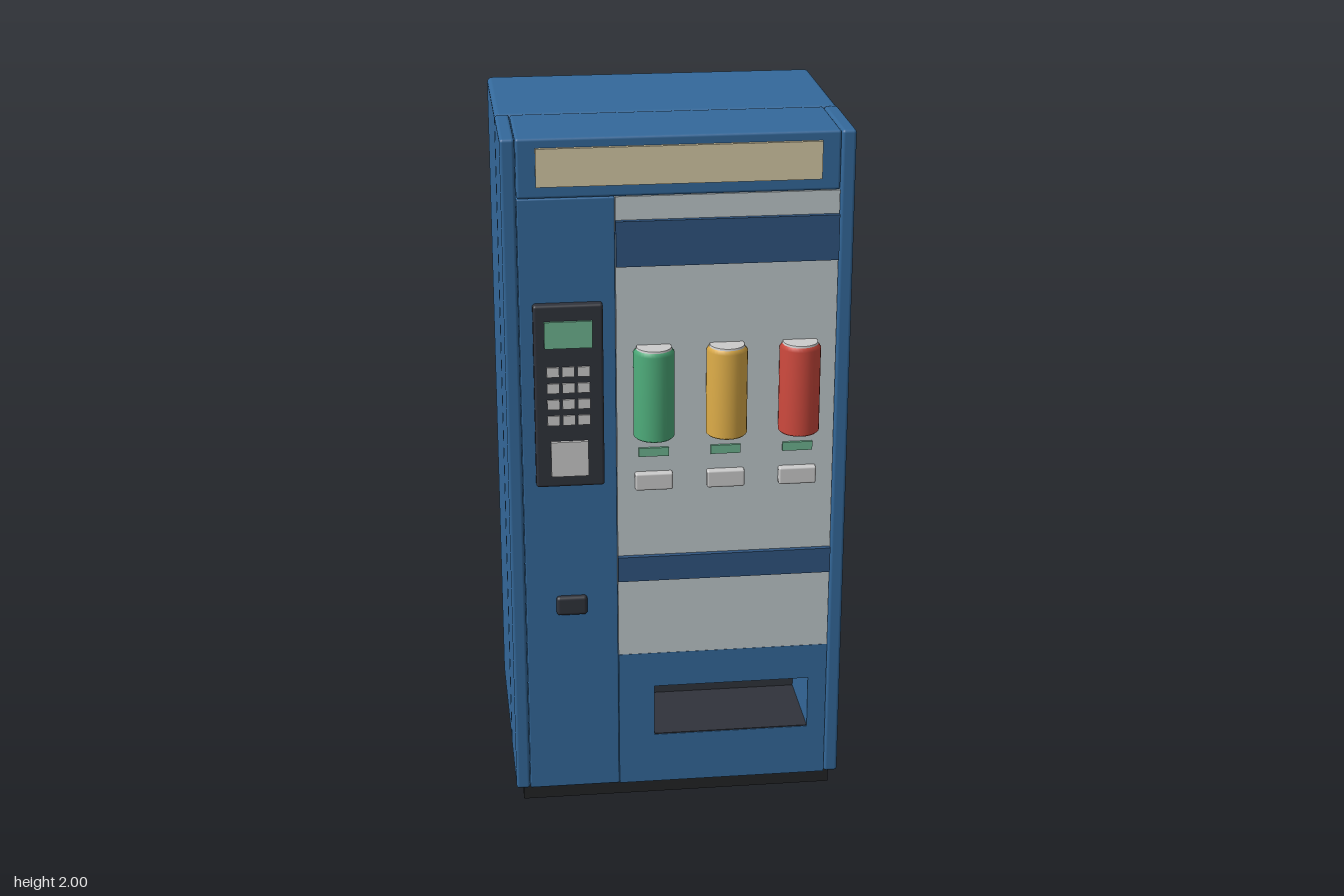
import * as THREE from 'three';
import { RoundedBoxGeometry } from 'three/addons/geometries/RoundedBoxGeometry.js';

const mat = (color) => new THREE.MeshStandardMaterial({ color });
const blue = mat(0x34699b), navy = mat(0x30557f), black = mat(0x222426), dark = mat(0x30333b);
const grey = mat(0xcccccc), panelGrey = mat(0xbfc8cb), cream = mat(0xd6caa6), green = mat(0x6fb491);

export function createModel() {
  const model = new THREE.Group();
  model.name = 'vendingMachine';

  const add = (name, geometry, material, parent = model) => {
    const mesh = new THREE.Mesh(geometry, material);
    mesh.name = name;
    parent.add(mesh);
    return mesh;
  };

  // Box given by its limits on each axis; a radius rounds its edges
  const block = (name, material, [x0, x1], [y0, y1], [z0, z1], radius = 0, parent = model) => {
    const size = [x1 - x0, y1 - y0, z1 - z0];
    const geometry = radius
      ? new RoundedBoxGeometry(...size, 3, radius)
      : new THREE.BoxGeometry(...size);
    const mesh = add(name, geometry, material, parent);
    mesh.position.set((x0 + x1) / 2, (y0 + y1) / 2, (z0 + z1) / 2);
    return mesh;
  };

  // Cabinet shell
  block('base', black, [-0.455, 0.455], [0, 0.055], [-0.402, 0.318]);
  block('rearCabinet', blue, [-0.477, 0.477], [0.05, 2], [-0.415, 0.064], 0.014);
  block('leftSidePost', blue, [0.437, 0.477], [0.05, 2], [0.064, 0.346], 0.009);
  block('rightSidePost', blue, [-0.477, -0.437], [0.05, 2], [0.064, 0.346], 0.009);
  block('header', blue, [-0.436, 0.436], [1.836, 2], [0.068, 0.346], 0.008);
  block('headerLight', cream, [-0.384, 0.384], [1.87, 1.974], [0.34, 0.357]);
  block('controlColumn', blue, [-0.436, -0.174], [0.05, 1.835], [0.064, 0.344], 0.004);
  block('displayPanel', panelGrey, [-0.173, 0.436], [0.472, 1.835], [0.064, 0.343]);
  block('upperBand', navy, [-0.173, 0.435], [1.643, 1.77], [0.34, 0.358]);
  block('lowerBand', navy, [-0.173, 0.435], [0.71, 0.785], [0.34, 0.358]);

  // Lower front with the opening of the delivery bin
  const front = new THREE.Shape();
  front.moveTo(-0.173, 0.05).lineTo(0.436, 0.05).lineTo(0.436, 0.472).lineTo(-0.173, 0.472).closePath();
  const opening = new THREE.Path();
  opening.moveTo(-0.07, 0.205).lineTo(-0.07, 0.365).lineTo(0.382, 0.365).lineTo(0.382, 0.205).closePath();
  front.holes.push(opening);
  const lower = add('deliveryFront', new THREE.ExtrudeGeometry(front, { depth: 0.28, bevelEnabled: false }), blue);
  lower.position.z = 0.064;
  block('binFloor', dark, [-0.07, 0.382], [0.2, 0.208], [0.07, 0.342]);
  block('binBack', dark, [-0.07, 0.382], [0.2, 0.365], [0.06, 0.09]);

  // Payment panel
  const payment = new THREE.Group();
  payment.name = 'paymentPanel';
  model.add(payment);
  block('paymentPlate', dark, [-0.4, -0.21], [1.015, 1.545], [0.335, 0.368], 0.008, payment);
  block('screen', green, [-0.371, -0.24], [1.424, 1.5], [0.36, 0.376], 0, payment);
  block('cardReader', grey, [-0.358, -0.255], [1.05, 1.152], [0.36, 0.378], 0, payment);
  for (let row = 0; row < 4; row++) {
    for (let col = 0; col < 3; col++) {
      const x = -0.349 + col * 0.042, y = 1.355 - row * 0.047;
      block('key', grey, [x - 0.017, x + 0.017], [y - 0.014, y + 0.014], [0.36, 0.373], 0, payment);
    }
  }
  block('coinReturn', dark, [-0.35, -0.262], [0.612, 0.67], [0.335, 0.359], 0.01);

  // Sample cans, each with a price label and a selection button
  const canProfile = [[0, 0], [0.052, 0], [0.057, 0.005], [0.057, 0.247], [0.05, 0.258]]
    .map(([r, y]) => new THREE.Vector2(r, y));
  [[-0.071, 0x4fae7c], [0.131, 0xdfae49], [0.334, 0xcf4a3e]].forEach(([x, color]) => {
    const unit = new THREE.Group();
    unit.name = 'selection';
    unit.position.x = x;
    model.add(unit);
    add('can', new THREE.LatheGeometry(canProfile, 32), mat(color), unit).position.set(0, 1.152, 0.358);
    add('canLid', new THREE.CylinderGeometry(0.048, 0.05, 0.008, 32), grey, unit).position.set(0, 1.411, 0.358);
    block('priceLabel', green, [-0.042, 0.042], [1.088, 1.113], [0.335, 0.351], 0, unit);
    block('button', grey, [-0.053, 0.053], [0.99, 1.041], [0.335, 0.363], 0.006, unit);
  });

  return model;
}
